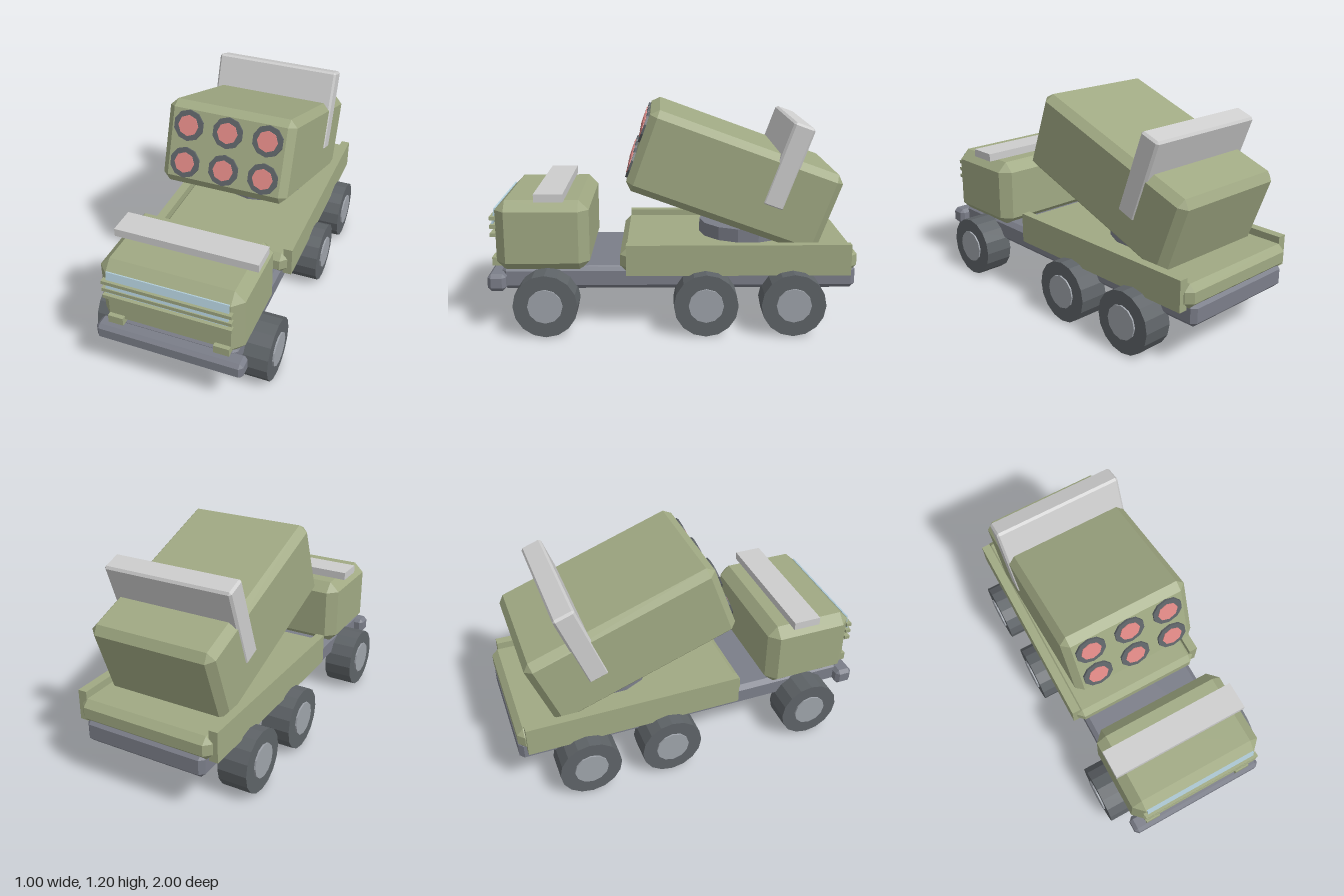
import * as THREE from 'three';
import { ConvexGeometry } from 'three/addons/geometries/ConvexGeometry.js';

const material = (name, color) => {
  const m = new THREE.MeshStandardMaterial({ color });
  m.name = name;
  m.flatShading = true;
  return m;
};

// Box with every edge cut at 45 degrees
function chamferBox(w, h, d, c) {
  const points = [];
  const [x, y, z] = [w / 2, h / 2, d / 2];
  for (const sx of [-1, 1]) for (const sy of [-1, 1]) for (const sz of [-1, 1]) {
    points.push(
      new THREE.Vector3(sx * x, sy * (y - c), sz * (z - c)),
      new THREE.Vector3(sx * (x - c), sy * y, sz * (z - c)),
      new THREE.Vector3(sx * (x - c), sy * (y - c), sz * z));
  }
  return new ConvexGeometry(points);
}

export function createModel() {
  const green = material('army green', 0xa0a983);
  const steel = material('chassis steel', 0x7b7e89);
  const rubber = material('dark rubber', 0x5e6367);
  const hubGrey = material('hub grey', 0x9ea3aa);
  const lightGrey = material('light grey', 0xcdcdcd);
  const glass = material('pale blue glass', 0xb4d0dc);
  const red = material('warhead red', 0xe08986);

  const truck = new THREE.Group();
  truck.name = 'rocketTruck';
  const add = (parent, name, geometry, mat, x, y, z) => {
    const mesh = new THREE.Mesh(geometry, mat);
    mesh.name = name;
    mesh.position.set(x, y, z);
    parent.add(mesh);
    return mesh;
  };
  const box = (w, h, d) => new THREE.BoxGeometry(w, h, d);

  // Chassis and bumper
  add(truck, 'chassis', chamferBox(0.71, 0.13, 1.93, 0.025), steel, 0, 0.287, -0.035);
  add(truck, 'bumper', chamferBox(0.82, 0.096, 0.1, 0.02), steel, 0, 0.276, 0.95);

  // Cab with roof bar, windscreen, slats and lamp blocks
  add(truck, 'cab', chamferBox(0.78, 0.395, 0.505, 0.055), green, 0, 0.5235, 0.7025);
  add(truck, 'roofBar', box(0.79, 0.045, 0.155), lightGrey, 0, 0.743, 0.6575);
  const windscreen = add(truck, 'windscreen', box(0.66, 0.118, 0.009), glass, 0, 0.618, 0.966);
  windscreen.rotation.x = -0.2;
  for (const y of [0.53, 0.576, 0.622]) {
    add(truck, 'frontSlat', box(0.7, 0.02, 0.03), green, 0, y, 0.968);
  }
  for (const s of [-1, 1]) {
    add(truck, 'lampBlock', box(0.085, 0.046, 0.06), green, s * 0.292, 0.378, 0.95);
  }

  // Load bed with side rails
  add(truck, 'bedFloor', chamferBox(0.78, 0.13, 1.285, 0.035), green, 0, 0.39, -0.3575);
  for (const s of [-1, 1]) {
    add(truck, 'bedRail', box(0.05, 0.17, 1.21), green, s * 0.391, 0.403, -0.355);
  }

  // Turntable
  add(truck, 'turntable', new THREE.CylinderGeometry(0.26, 0.26, 0.09, 14), steel, 0, 0.485, -0.42);

  // Tilted launcher with frame
  const launcher = new THREE.Group();
  launcher.name = 'launcher';
  launcher.position.set(0, 0.808, -0.333);
  launcher.rotation.x = -THREE.MathUtils.degToRad(20);
  truck.add(launcher);
  add(launcher, 'launcherBody', chamferBox(0.722, 0.46, 1.097, 0.04), green, 0, 0, 0);
  add(launcher, 'launcherFrame', chamferBox(0.734, 0.47, 0.12, 0.012), lightGrey, 0, 0.183, -0.233);

  // Six launch tubes with warheads
  const ring = new THREE.CylinderGeometry(0.086, 0.086, 0.03, 10).rotateX(Math.PI / 2);
  const tip = new THREE.CylinderGeometry(0.058, 0.058, 0.03, 8).rotateX(Math.PI / 2);
  for (const x of [-0.225, 0, 0.225]) for (const y of [-0.103, 0.103]) {
    add(launcher, 'tubeRing', ring, rubber, x, y, 0.545);
    add(launcher, 'warhead', tip, red, x, y, 0.549);
  }

  // Three axles of wheels
  const tyre = new THREE.CylinderGeometry(0.173, 0.173, 0.165, 16).rotateZ(Math.PI / 2);
  const hub = new THREE.CylinderGeometry(0.094, 0.094, 0.183, 12).rotateZ(Math.PI / 2);
  for (const z of [0.68, -0.178, -0.647]) for (const s of [-1, 1]) {
    add(truck, 'tyre', tyre, rubber, s * 0.4085, 0.173, z);
    add(truck, 'wheelHub', hub, hubGrey, s * 0.4085, 0.176, z);
  }
  return truck;
}
